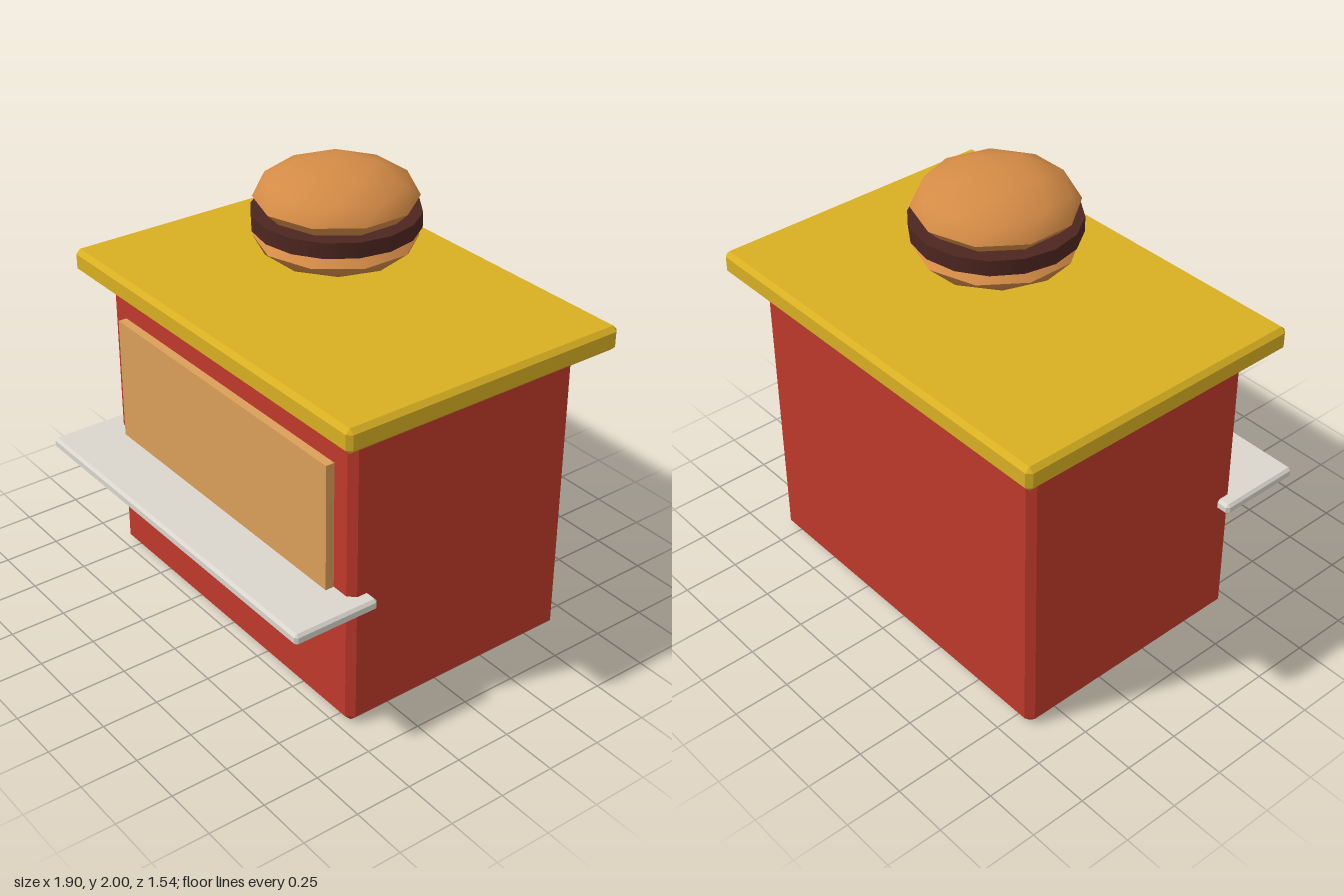
import * as THREE from 'three';
import { mergeVertices } from 'three/addons/utils/BufferGeometryUtils.js';
import { ConvexGeometry } from 'three/addons/geometries/ConvexGeometry.js';

const paint = (name, color) => {
  const m = new THREE.MeshStandardMaterial({ color });
  m.name = name;
  return m;
};

// Box with a single 45 degree chamfer on every edge
function chamferedBox(w, h, d, c) {
  const points = [];
  for (const x of [-1, 1]) for (const y of [-1, 1]) for (const z of [-1, 1]) {
    for (let axis = 0; axis < 3; axis++) {
      const inset = [c, c, c];
      inset[axis] = 0;
      points.push(new THREE.Vector3(
        x * (w / 2 - inset[0]), y * (h / 2 - inset[1]), z * (d / 2 - inset[2])));
    }
  }
  return new ConvexGeometry(points);
}

// Upper (side = 1) or lower (side = -1) half of a flattened icosphere
function icoDome(radius, height, side) {
  const ico = new THREE.IcosahedronGeometry(1, 1);
  ico.rotateZ(-Math.atan(2 / (1 + Math.sqrt(5))));
  const p = ico.attributes.position;
  const kept = [];
  for (let i = 0; i < p.count; i += 3) {
    const tri = [i, i + 1, i + 2];
    if (tri.every((j) => p.getY(j) * side > -0.01)) {
      for (const j of tri) kept.push(p.getX(j) * radius, p.getY(j) * height, p.getZ(j) * radius);
    }
  }
  const dome = new THREE.BufferGeometry();
  dome.setAttribute('position', new THREE.Float32BufferAttribute(kept, 3));
  const smooth = mergeVertices(dome, 1e-4);
  smooth.computeVertexNormals();
  return smooth;
}

export function createModel() {
  const model = new THREE.Group();
  model.name = 'burgerStand';

  const red = paint('wallRed', 0xc0392b);
  const yellow = paint('roofYellow', 0xd9b022);
  const tan = paint('windowTan', 0xdb9f59);
  const grey = paint('counterGrey', 0xdad6ce);
  const bunBrown = paint('bunBrown', 0xd48b46);
  const pattyBrown = paint('pattyBrown', 0x4e2620);

  const add = (parent, name, geometry, material, x, y, z) => {
    const mesh = new THREE.Mesh(geometry, material);
    mesh.name = name;
    mesh.position.set(x, y, z);
    parent.add(mesh);
  };

  // Stand
  add(model, 'body', chamferedBox(1.672, 1.348, 1.12, 0.03), red, 0, 0.674, -0.094);
  add(model, 'roof', chamferedBox(1.9, 0.106, 1.34, 0.02), yellow, 0, 1.403, -0.096);
  add(model, 'servingWindow', new THREE.BoxGeometry(1.456, 0.585, 0.08), tan, 0, 0.8875, 0.465);
  add(model, 'counter', chamferedBox(1.79, 0.05, 0.392, 0.012), grey, 0, 0.593, 0.574);

  // Floating burger sign: domes with tapered undersides meeting at the patty
  const burger = new THREE.Group();
  burger.name = 'burgerSign';
  burger.position.z = -0.098;
  model.add(burger);
  const r = 0.335, waist = 0.25;
  const taper = (top, bottom) => new THREE.CylinderGeometry(top, bottom, 0.085, 10, 1, true);
  add(burger, 'topBun', icoDome(r, 0.147, 1), bunBrown, 0, 1.853, 0);
  add(burger, 'topBunUnderside', taper(r, waist), bunBrown, 0, 1.8105, 0);
  add(burger, 'patty', new THREE.CylinderGeometry(0.346, 0.346, 0.066, 16), pattyBrown, 0, 1.769, 0);
  add(burger, 'bottomBunTop', taper(waist, r), bunBrown, 0, 1.7255, 0);
  add(burger, 'bottomBun', icoDome(r, 0.098, -1), bunBrown, 0, 1.683, 0);

  return model;
}
